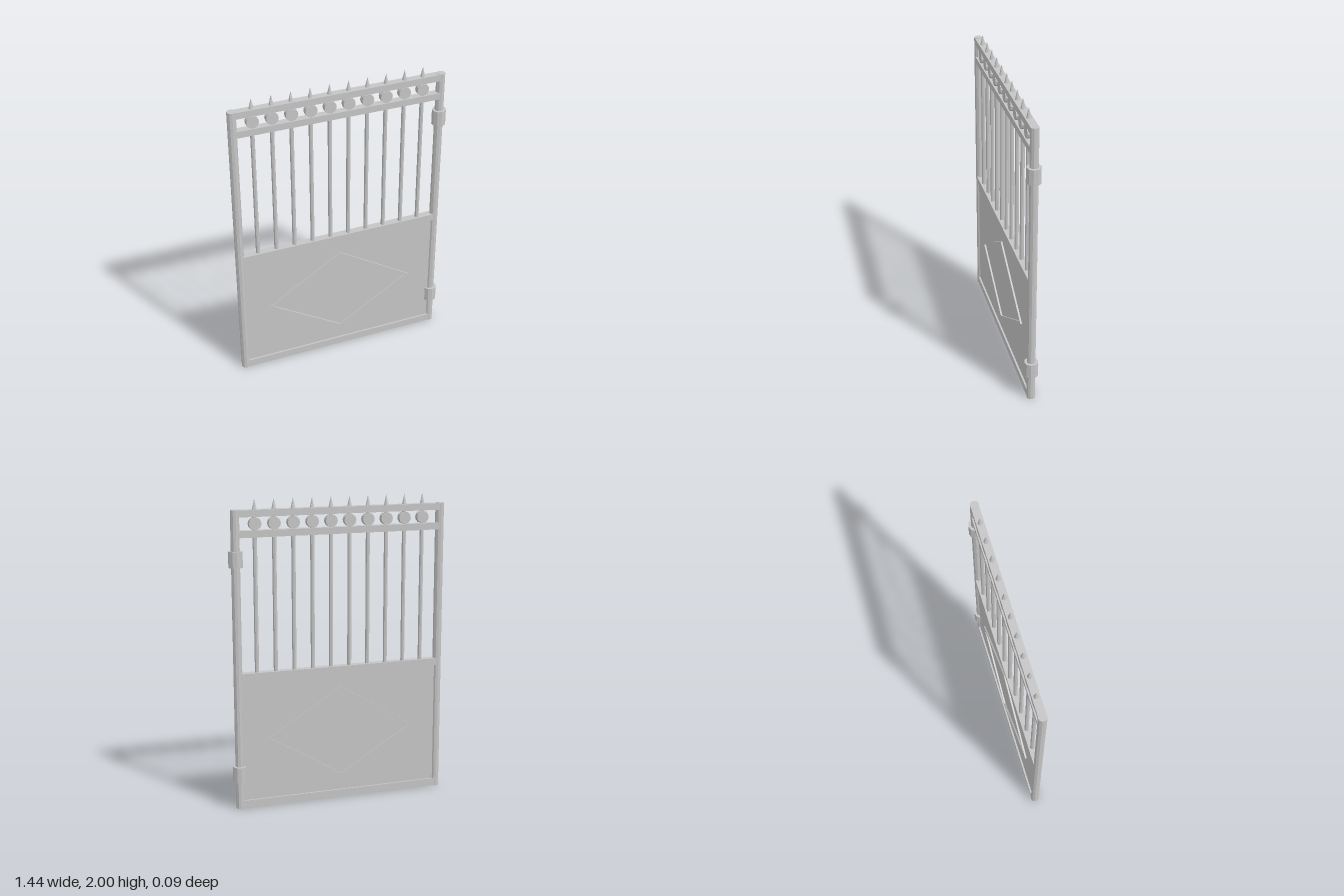
import * as THREE from 'three';

export function createModel() {
  const gate = new THREE.Group();
  gate.name = 'gate';
  const metal = new THREE.MeshStandardMaterial({ color: 0xc5c5c5, flatShading: true });
  metal.name = 'light grey metal';

  const add = (name, geometry, x, y, z = 0) => {
    const mesh = new THREE.Mesh(geometry, metal);
    mesh.name = name;
    mesh.position.set(x, y, z);
    gate.add(mesh);
  };
  const LEFT = -0.693, RIGHT = 0.675, MID = (LEFT + RIGHT) / 2;

  // Ten-sided side posts
  const post = new THREE.CylinderGeometry(0.028, 0.028, 1.935, 10);
  add('rightPost', post, LEFT, 0.9675);
  add('leftPost', post, RIGHT, 0.9675);

  // Hinge sleeves on one post
  const hinge = new THREE.CylinderGeometry(0.045, 0.045, 0.102, 10);
  for (const y of [0.234, 1.629]) add('hinge', hinge, RIGHT, y);

  // Horizontal rails: bottom and top of each
  const rails = { bottomRail: [0.003, 0.053], middleRail: [0.853, 0.9], lowerTopRail: [1.763, 1.806], topRail: [1.89, 1.933] };
  for (const [name, [y0, y1]] of Object.entries(rails)) {
    add(name, new THREE.BoxGeometry(RIGHT - LEFT, y1 - y0, 0.05), MID, (y0 + y1) / 2);
  }

  // Recessed lower panel
  add('panel', new THREE.BoxGeometry(RIGHT - LEFT, 0.82, 0.026), MID, 0.455);

  // Raised diamond frame standing out on both faces
  const diamond = (Type, w, h) => new Type([[-w, 0], [0, -h], [w, 0], [0, h]].map(([x, y]) => new THREE.Vector2(x, y)));
  const frame = diamond(THREE.Shape, 0.506, 0.311);
  frame.holes.push(diamond(THREE.Path, 0.474, 0.288));
  add('diamondFrame', new THREE.ExtrudeGeometry(frame, { depth: 0.048, bevelEnabled: false }), -0.01, 0.453, -0.024);

  // Upright bars, each with a disc and a spike
  const bar = new THREE.CylinderGeometry(0.014, 0.014, 1.04, 8);
  const disc = new THREE.CylinderGeometry(0.04, 0.04, 0.036, 12).rotateX(Math.PI / 2);
  const spike = new THREE.ConeGeometry(0.017, 0.072, 8);
  for (let i = 0; i < 10; i++) {
    const x = -0.569 + i * 0.1243;
    add('bar', bar, x, 1.4);
    add('disc', disc, x, 1.846);
    add('spike', spike, x, 1.964);
  }
  return gate;
}
